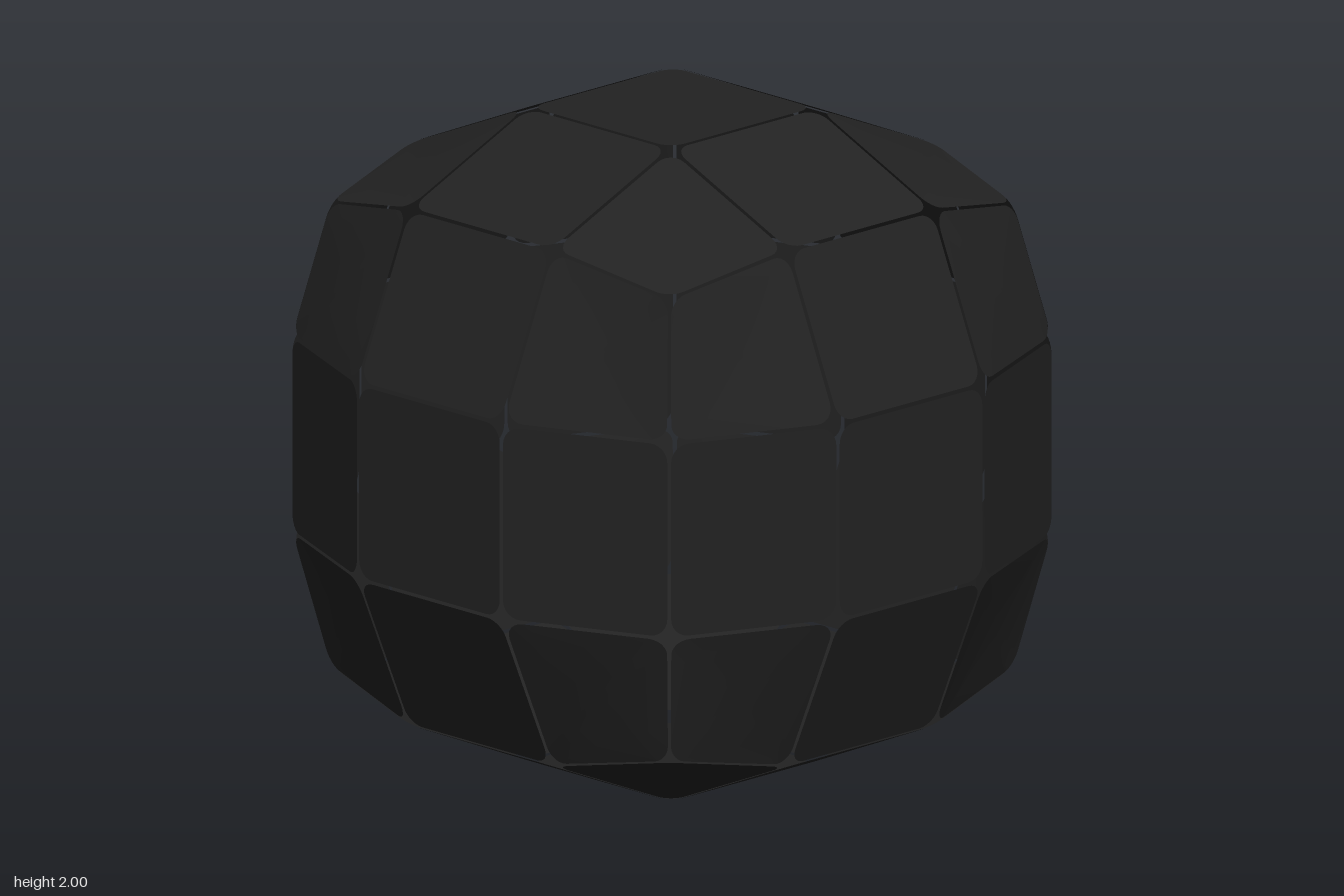
import * as THREE from 'three';

const INNER = 0.3;   // half width of a centre tile
const EDGE = 0.79;   // where two neighbouring faces meet
const CORNER = 0.71; // where three faces meet
const GAP = 0.006;   // half the slit between tiles
const RADIUS = 0.055; // rounding of the tile corners
const ARC = 6;       // segments per rounded corner
const RINGS = 4;     // rings from tile centre to outline

// Node of the 4 x 4 lattice on the front face, i and j from 0 to 3
function node(i, j) {
  const sx = i < 2 ? -1 : 1, sy = j < 2 ? -1 : 1;
  const outX = i === 0 || i === 3, outY = j === 0 || j === 3;
  if (outX && outY) return new THREE.Vector3(sx * CORNER, sy * CORNER, CORNER);
  if (outX) return new THREE.Vector3(sx * EDGE, sy * INNER, EDGE);
  if (outY) return new THREE.Vector3(sx * INNER, sy * EDGE, EDGE);
  return new THREE.Vector3(sx * INNER, sy * INNER, 1);
}

// Thin tile with rounded corners stretched between four lattice nodes
function tileGeometry(i, j) {
  const a = node(i, j), b = node(i + 1, j), c = node(i, j + 1), d = node(i + 1, j + 1);
  const width = (a.distanceTo(b) + c.distanceTo(d)) / 2;
  const height = (a.distanceTo(c) + b.distanceTo(d)) / 2;
  const place = (u, v) => a.clone().lerp(b, u).lerp(c.clone().lerp(d, u), v);

  // Rounded outline in u, v, anticlockwise around the middle
  const outline = [];
  const reach = 0.5;
  for (let q = 0; q < 4; q++) {
    const sx = q === 0 || q === 3 ? 1 : -1, sy = q < 2 ? 1 : -1;
    for (let k = 0; k <= ARC; k++) {
      const t = (q + k / ARC) * Math.PI / 2;
      outline.push([
        sx * (reach - (GAP + RADIUS) / width) + Math.cos(t) * RADIUS / width,
        sy * (reach - (GAP + RADIUS) / height) + Math.sin(t) * RADIUS / height,
      ]);
    }
  }

  // Concentric rings of the outline follow the slight twist of the corner tiles
  const n = outline.length;
  const positions = [...place(0.5, 0.5).toArray()];
  const index = [];
  for (let r = 1; r <= RINGS; r++) {
    for (const [u, v] of outline) {
      positions.push(...place(0.5 + u * r / RINGS, 0.5 + v * r / RINGS).toArray());
    }
    const ring = 1 + (r - 1) * n, inside = ring - n;
    for (let k = 0; k < n; k++) {
      const next = (k + 1) % n;
      if (r === 1) index.push(0, ring + k, ring + next);
      else index.push(inside + k, ring + k, ring + next, inside + k, ring + next, inside + next);
    }
  }
  const geometry = new THREE.BufferGeometry();
  geometry.setAttribute('position', new THREE.Float32BufferAttribute(positions, 3));
  geometry.setIndex(index);
  geometry.computeVertexNormals();
  return geometry;
}

export function createModel() {
  const model = new THREE.Group();
  model.name = 'tiledPuzzleCube';
  const material = new THREE.MeshStandardMaterial({ color: 0x222222, side: THREE.DoubleSide });

  // The nine tiles of one face
  const tiles = [];
  for (let i = 0; i < 3; i++) {
    for (let j = 0; j < 3; j++) {
      const kind = ['centreTile', 'edgeTile', 'cornerTile'][(i !== 1) + (j !== 1)];
      tiles.push({ kind, geometry: tileGeometry(i, j) });
    }
  }

  // Six equal faces turned around the hollow middle
  const q = Math.PI / 2;
  const faces = {
    frontFace: [0, 0], leftFace: [0, q], backFace: [0, 2 * q],
    rightFace: [0, -q], topFace: [-q, 0], bottomFace: [q, 0],
  };
  for (const [name, [rx, ry]] of Object.entries(faces)) {
    const face = new THREE.Group();
    face.name = name;
    face.rotation.set(rx, ry, 0);
    face.position.y = 1;
    for (const { kind, geometry } of tiles) {
      const tile = new THREE.Mesh(geometry, material);
      tile.name = kind;
      face.add(tile);
    }
    model.add(face);
  }
  return model;
}
